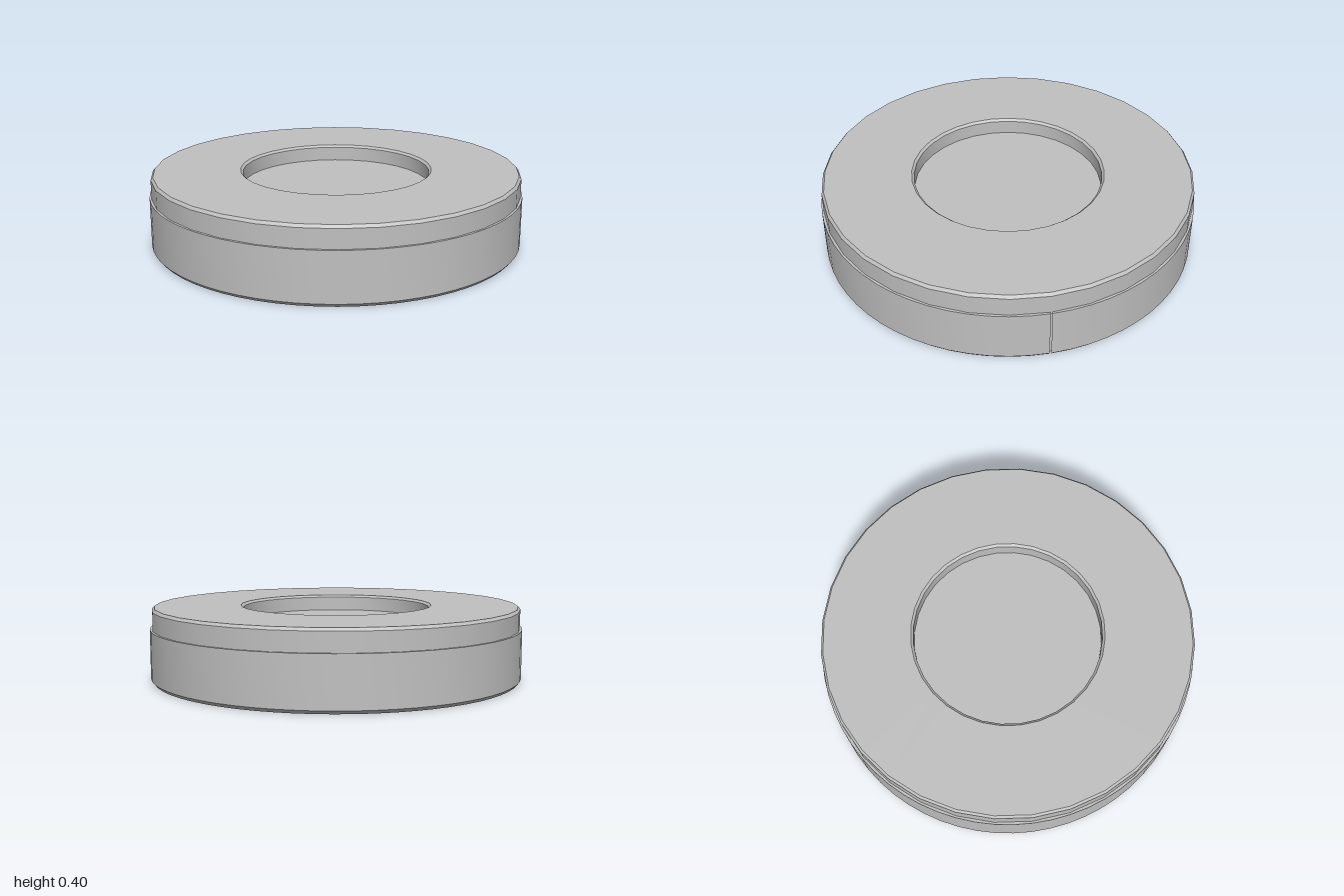
import * as THREE from 'three';
import { toCreasedNormals } from 'three/addons/utils/BufferGeometryUtils.js';

export function createModel() {
  const group = new THREE.Group();
  const grey = new THREE.MeshStandardMaterial({ color: 0xc0c0c0 });
  grey.name = 'light grey';

  // Turned part from a profile of [radius, height] pairs, with crisp profile corners
  function turned(name, profile, sides, start = 0, length = Math.PI * 2) {
    const points = profile.map(([r, y]) => new THREE.Vector2(r, y));
    const geometry = new THREE.LatheGeometry(points, sides, start, length);
    const mesh = new THREE.Mesh(toCreasedNormals(geometry, 0.4), grey);
    mesh.name = name;
    group.add(mesh);
  }

  // Disc body: tapered recess below, bevelled rim, round recess on top
  turned('discBody', [
    [0, 0.066], [0.8, 0.066], [0.84, 0], [0.97, 0], [0.99, 0.02],
    [0.99, 0.38], [0.978, 0.395],
    [0.515, 0.395], [0.502, 0.383], [0.502, 0.307], [0, 0.307],
  ], 32);

  // Outer band, split by a hairline seam at +x
  const gap = 0.004;
  turned('outerBand', [
    [0.96, 0], [0.985, 0], [1, 0.018], [1, 0.28], [0.98, 0.28],
  ], 64, Math.PI / 2 + gap, Math.PI * 2 - gap * 2);

  return group;
}
